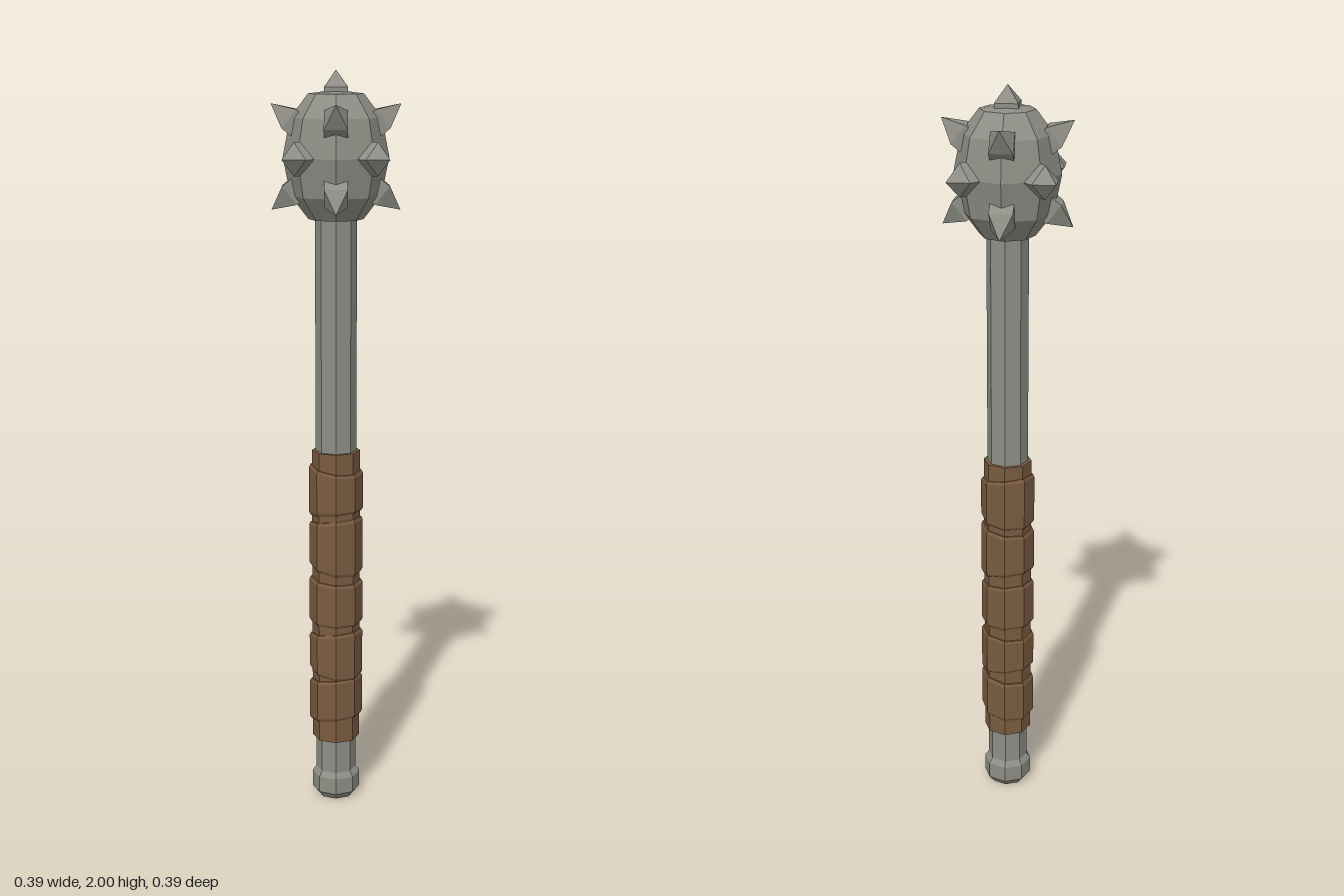
import * as THREE from 'three';

const metal = new THREE.MeshStandardMaterial({ color: 0x8e8e86 });
metal.name = 'steel grey';
const leather = new THREE.MeshStandardMaterial({ color: 0x7a5b40 });
leather.name = 'leather brown';

// Faceted mesh: every face keeps its own normal
function faceted(name, geometry, material) {
  const flat = geometry.toNonIndexed();
  flat.computeVertexNormals();
  const mesh = new THREE.Mesh(flat, material);
  mesh.name = name;
  return mesh;
}

// Eight-sided turned part from [radius, y] pairs, bottom to top
function turned(name, profile, material) {
  const points = profile.map(([r, y]) => new THREE.Vector2(r, y));
  return faceted(name, new THREE.LatheGeometry(points, 8), material);
}

// Square spike: short prism sunk in the ball, pyramid on top
function spike(name, direction, centre, root, shoulder, tip) {
  const points = [[0.043, root], [0.043, shoulder], [0, tip]].map(([r, y]) => new THREE.Vector2(r, y));
  const mesh = faceted(name, new THREE.LatheGeometry(points, 4), metal);
  mesh.quaternion.setFromUnitVectors(new THREE.Vector3(0, 1, 0), direction.clone().normalize());
  mesh.position.copy(centre);
  return mesh;
}

// Leather band whose upper and lower rims slope from -x to +x
function band([topL, topR, bottomL, bottomR]) {
  const r = 0.073;
  const points = [[0.06, 0], [r - 0.004, 0], [r, 0.06], [r, 0.94], [r - 0.004, 1], [0.06, 1]]
    .map(([x, y]) => new THREE.Vector2(x, y));
  const geometry = new THREE.LatheGeometry(points, 8);
  const p = geometry.attributes.position;
  for (let i = 0; i < p.count; i++) {
    const t = (p.getX(i) / r + 1) / 2;
    const low = THREE.MathUtils.lerp(bottomL, bottomR, t);
    const high = THREE.MathUtils.lerp(topL, topR, t);
    p.setY(i, THREE.MathUtils.lerp(low, high, p.getY(i)));
  }
  return faceted('gripBand', geometry, leather);
}

export function createModel() {
  const model = new THREE.Group();
  model.name = 'spikedMace';

  // Shaft and pommel
  model.add(turned('shaft', [[0.055, 0.06], [0.055, 1.66]], metal));
  model.add(turned('pommel',
    [[0, 0], [0.05, 0], [0.066, 0.02], [0.066, 0.065], [0.055, 0.08], [0, 0.08]], metal));

  // Grip core with five wrapped bands
  const grip = new THREE.Group();
  grip.name = 'grip';
  grip.add(turned('gripCore', [[0.05, 0.175], [0.065, 0.175], [0.065, 1], [0.05, 1]], leather));
  [
    [0.965, 0.94, 0.815, 0.835],
    [0.795, 0.818, 0.682, 0.655],
    [0.645, 0.632, 0.515, 0.512],
    [0.475, 0.495, 0.382, 0.355],
    [0.338, 0.362, 0.22, 0.245],
  ].forEach((rims) => grip.add(band(rims)));
  model.add(grip);

  // Faceted ball
  const head = new THREE.Group();
  head.name = 'head';
  head.add(turned('ball', [
    [0, 1.62], [0.072, 1.62], [0.118, 1.68], [0.138, 1.78], [0.118, 1.88], [0.072, 1.94], [0, 1.95],
  ], metal));

  // Spikes to the sides and top, then to the eight corners
  const centre = new THREE.Vector3(0, 1.78, 0);
  for (const [x, z] of [[1, 0], [-1, 0], [0, 1], [0, -1]]) {
    head.add(spike('sideSpike', new THREE.Vector3(x, 0, z), centre, 0.1, 0.15, 0.193));
  }
  head.add(spike('topSpike', new THREE.Vector3(0, 1, 0), centre, 0.14, 0.177, 0.22));
  for (const x of [-1, 1]) for (const y of [-1, 1]) for (const z of [-1, 1]) {
    head.add(spike('cornerSpike', new THREE.Vector3(x * 0.12, y * 0.137, z * 0.12), centre, 0.1, 0.155, 0.216));
  }
  model.add(head);
  return model;
}
